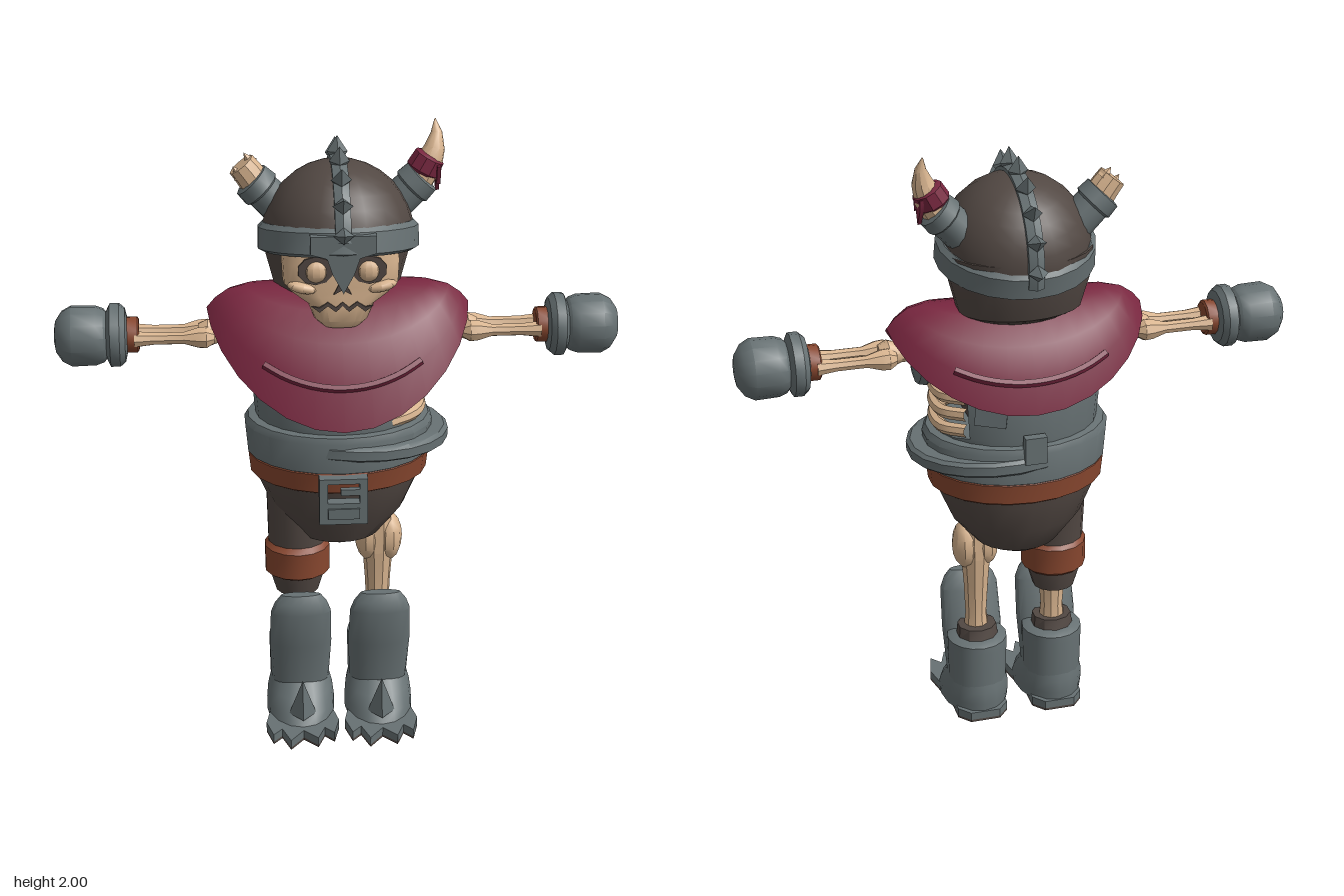
import * as THREE from 'three';
import { toCreasedNormals } from 'three/addons/utils/BufferGeometryUtils.js';

const V = (x, y, z) => new THREE.Vector3(x, y, z);
const material = (name, color, side = THREE.FrontSide) => {
  const m = new THREE.MeshStandardMaterial({ color, side });
  m.name = name;
  return m;
};

// Skins closed rings of points, optionally capping both ends
function skin(rings, capped = true) {
  const n = rings[0].length, pos = [], idx = [];
  rings.forEach(r => r.forEach(p => pos.push(p.x, p.y, p.z)));
  for (let i = 0; i < rings.length - 1; i++) for (let j = 0; j < n; j++) {
    const a = i * n + j, b = i * n + (j + 1) % n;
    idx.push(a, b, b + n, a, b + n, a + n);
  }
  if (capped) [0, rings.length - 1].forEach((k, top) => {
    const c = rings[k].reduce((s, p) => s.add(p), V(0, 0, 0)).divideScalar(n);
    const ci = pos.length / 3;
    pos.push(c.x, c.y, c.z);
    for (let j = 0; j < n; j++) {
      const a = k * n + j, b = k * n + (j + 1) % n;
      top ? idx.push(ci, a, b) : idx.push(ci, b, a);
    }
  });
  const g = new THREE.BufferGeometry();
  g.setAttribute('position', new THREE.Float32BufferAttribute(pos, 3));
  g.setIndex(idx);
  return g;
}

// Stacked oval sections: [y, halfWidth, zBack, zFront]; power > 2 squares the oval
function loft(rows, n = 20, power = 2, rule = p => p) {
  const bend = t => Math.sign(t) * Math.abs(t) ** (2 / power);
  return skin(rows.map(([y, rx, zb, zf]) => Array.from({ length: n }, (_, j) => {
    const a = j / n * Math.PI * 2;
    return rule(V(rx * bend(Math.sin(a)), y, (zb + zf) / 2 + (zf - zb) / 2 * bend(Math.cos(a))));
  })));
}

// Round sections along a path: [x, y, z, radius]
function limb(path, n = 10) {
  const c = path.map(p => V(p[0], p[1], p[2]));
  return skin(c.map((p, i) => {
    const t = c[Math.min(i + 1, c.length - 1)].clone().sub(c[Math.max(i - 1, 0)]).normalize();
    const u = V(0, 0, 1).cross(t).normalize(), v = t.clone().cross(u);
    return Array.from({ length: n }, (_, j) => {
      const a = j / n * Math.PI * 2, r = path[i][3];
      return p.clone().addScaledVector(u, r * Math.cos(a)).addScaledVector(v, r * Math.sin(a));
    });
  }));
}

function plate(points, depth, holes = []) {
  const shape = new THREE.Shape(points.map(p => new THREE.Vector2(...p)));
  holes.forEach(h => shape.holes.push(new THREE.Path(h.map(p => new THREE.Vector2(...p)))));
  return new THREE.ExtrudeGeometry(shape, { depth, bevelEnabled: false });
}
const rect = (x0, y0, x1, y1) => [[x0, y0], [x1, y0], [x1, y1], [x0, y1]];

export function createModel() {
  const model = new THREE.Group();
  model.name = 'skeletonWarrior';
  const iron = material('iron grey', 0x677173), dark = material('dark leather', 0x524843);
  const bone = material('bone', 0xd8b48f), tan = material('brown leather', 0x88472f);
  const red = material('crimson cloth', 0x78263f, THREE.DoubleSide);
  const add = (name, geo, mat, pos = [0, 0, 0], rot = [0, 0, 0], scale = [1, 1, 1], parent = model) => {
    const m = new THREE.Mesh(toCreasedNormals(geo, 0.6), mat);
    m.name = name;
    m.position.set(...pos); m.rotation.set(...rot); m.scale.set(...scale);
    parent.add(m);
    return m;
  };

  // Boots
  const toes = [[0.12, 0.19], [0.1, 0.27], [0.07, 0.235], [0.045, 0.3], [0, 0.25],
    [-0.045, 0.31], [-0.07, 0.235], [-0.1, 0.27], [-0.12, 0.19]];
  const sole = [[-0.085, 0.02], [-0.085, -0.06], [-0.05, -0.1], [0.05, -0.1], [0.085, -0.06], [0.085, 0.02], ...toes];
  for (const s of [1, -1]) {
    const boot = new THREE.Group();
    boot.name = s > 0 ? 'leftBoot' : 'rightBoot';
    boot.position.x = 0.13 * s;
    model.add(boot);
    const part = (name, geo, mat, pos, rot, scale) => add(name, geo, mat, pos, rot, scale, boot);
    part('clawedSole', plate(sole, 0.027), iron, [0, 0.035, 0], [Math.PI / 2, 0, 0]);
    part('soleBottom', plate(sole, 0.008), dark, [0, 0.008, 0], [Math.PI / 2, 0, 0]);
    part('foot', loft([[0.02, 0.112, -0.095, 0.24], [0.06, 0.112, -0.098, 0.21], [0.1, 0.107, -0.095, 0.165],
      [0.14, 0.095, -0.085, 0.12]], 16), iron);
    part('shaft', loft([[0.12, 0.097, -0.088, 0.11], [0.25, 0.1, -0.092, 0.115], [0.275, 0.1, -0.09, 0.11],
      [0.285, 0.08, -0.07, 0.09]], 16), iron);
    part('shinGuard', loft([[0.13, 0.095, -0.02, 0.118], [0.28, 0.102, 0.03, 0.135], [0.41, 0.098, 0.07, 0.162],
      [0.445, 0.085, 0.085, 0.155], [0.472, 0.065, 0.105, 0.14]], 16), iron);
    part('bootSpike', new THREE.ConeGeometry(0.045, 0.13, 4), iron, [0, 0.13, 0.195], [0.12, 0, 0]);
    part('bootLining', loft([[0.28, 0.07, -0.06, 0.07], [0.32, 0.065, -0.05, 0.07]], 10), dark);
  }

  // Bare left leg
  add('leftShinBone', limb([[0.13, 0.28, 0.02, 0.045], [0.13, 0.36, 0.02, 0.036], [0.13, 0.48, 0.015, 0.042],
    [0.13, 0.58, 0.015, 0.05]]), bone);
  add('leftThighBone', limb([[0.13, 0.58, 0.015, 0.05], [0.13, 0.68, 0.015, 0.052], [0.12, 0.78, 0.01, 0.045]]), bone);
  for (const x of [0.1, 0.165])
    add('leftKneeKnob', new THREE.SphereGeometry(1, 10, 8), bone, [x, 0.625, 0.015], [0, 0, 0], [0.045, 0.085, 0.056]);

  // Clothed right leg
  const leg = [-0.135, 0, 0];
  add('rightTrouserLeg', loft([[0.44, 0.07, -0.06, 0.07], [0.5, 0.088, -0.075, 0.085], [0.6, 0.095, -0.08, 0.1],
    [0.8, 0.1, -0.1, 0.1]], 14), dark, leg);
  add('kneeBand', loft([[0.51, 0.095, -0.08, 0.1], [0.52, 0.107, -0.09, 0.115], [0.61, 0.107, -0.095, 0.12],
    [0.625, 0.095, -0.08, 0.1]], 14), tan, leg);
  add('rightShinBone', limb([[-0.13, 0.28, 0.01, 0.045], [-0.13, 0.36, 0.01, 0.038], [-0.13, 0.46, 0.01, 0.045]]), bone);

  // Trousers, belt and buckle
  add('trousers', loft([[0.64, 0.09, -0.11, 0.09], [0.66, 0.14, -0.14, 0.13], [0.75, 0.215, -0.185, 0.17],
    [0.85, 0.258, -0.21, 0.2], [0.92, 0.27, -0.22, 0.21]], 22), dark);
  add('belt', loft([[0.87, 0.27, -0.215, 0.21], [0.88, 0.285, -0.23, 0.228], [0.945, 0.292, -0.235, 0.238],
    [0.955, 0.275, -0.22, 0.22]], 22), tan);
  add('buckle', plate(rect(-0.077, 0.79, 0.075, 0.945), 0.04, [rect(-0.05, 0.862, 0.05, 0.928)]), iron, [0, 0, 0.228]);
  add('bucklePanel', plate(rect(-0.05, 0.81, 0.05, 0.845), 0.008), iron, [0, 0, 0.266]);
  add('bucklePin', new THREE.BoxGeometry(0.06, 0.02, 0.02), iron, [0.02, 0.9, 0.26]);

  // Torso armour with a broken-out left flank
  const broken = p => {
    if (p.x > 0.15 && p.y > 1.085 && p.y < 1.255 && p.z > -0.13 && p.z < 0.14) p.x = 0.15;
    return p;
  };
  add('torsoArmour', loft([[1.03, 0.26, -0.21, 0.215], [1.08, 0.265, -0.213, 0.22], [1.09, 0.266, -0.214, 0.22],
    [1.25, 0.28, -0.215, 0.215], [1.26, 0.28, -0.214, 0.213], [1.33, 0.282, -0.19, 0.185],
    [1.42, 0.22, -0.13, 0.13], [1.48, 0.14, -0.1, 0.1]], 24, 2, broken), iron);
  add('waistArmour', loft([[0.935, 0.27, -0.215, 0.215], [0.95, 0.293, -0.235, 0.238], [1.05, 0.302, -0.238, 0.245],
    [1.07, 0.29, -0.23, 0.238], [1.075, 0.265, -0.21, 0.215]], 22), iron);
  add('waistFold', loft([[0.99, 0.29, -0.235, 0.238], [1, 0.303, -0.246, 0.253], [1.03, 0.303, -0.246, 0.253],
    [1.04, 0.29, -0.235, 0.238]], 22), iron, [0, 0, 0], [0, 0, -0.05]);
  add('backClasp', new THREE.BoxGeometry(0.07, 0.09, 0.03), iron, [0, 1.07, -0.235]);
  add('backPlate', new THREE.BoxGeometry(0.1, 0.08, 0.02), iron, [0.13, 1.19, -0.195], [0, -0.35, 0.1]);
  add('flankShadow', new THREE.BoxGeometry(0.008, 0.15, 0.2), dark, [0.152, 1.17, 0.005]);
  for (const y of [1.1, 1.155, 1.21, 1.26]) {
    const curve = new THREE.CatmullRomCurve3([V(0.15, y - 0.01, 0.16), V(0.225, y, 0.12), V(0.258, y, 0.03),
      V(0.25, y, -0.06), V(0.19, y + 0.01, -0.13)]);
    add('rib', new THREE.TubeGeometry(curve, 12, 0.021, 7), bone);
  }

  // Arms and gauntlets, mirrored
  for (const s of [1, -1]) {
    const along = (rows, n, y = 1.345, z = 0) => limb(rows.map(([x, r]) => [x * s, y, z, r]), n);
    const side = s > 0 ? 'left' : 'right';
    add(side + 'Sleeve', along([[0.18, 0.09], [0.29, 0.09], [0.3, 0.098], [0.325, 0.092], [0.33, 0.06]], 12, 1.33), iron);
    add(side + 'UpperArmBone', along([[0.25, 0.04], [0.32, 0.03], [0.37, 0.032], [0.41, 0.045], [0.44, 0.03]], 10), bone);
    for (const z of [-0.035, 0.035]) {
      add(side + 'ForearmBone', along([[0.39, 0.02], [0.415, 0.036], [0.44, 0.034], [0.485, 0.02], [0.58, 0.02],
        [0.64, 0.027]], 8, 1.342, z), bone);
    }
    add(side + 'WristCuff', along([[0.625, 0.05], [0.63, 0.057], [0.68, 0.057]], 12), tan);
    add(side + 'GauntletRim', along([[0.662, 0.06], [0.668, 0.085], [0.685, 0.1], [0.715, 0.1], [0.727, 0.075]], 14), iron);
    add(side + 'Fist', along([[0.715, 0.06], [0.735, 0.085], [0.76, 0.094], [0.835, 0.096], [0.865, 0.08],
      [0.885, 0.05], [0.89, 0.02]], 14), iron);
  }

  // Shoulder cape: rows of [halfWidth, zBack, zFront, ySide, yBack, yFront], hem first
  const capeRows = [[0.36, -0.21, 0.25, 1.42, 1.25, 1.18], [0.395, -0.245, 0.285, 1.41, 1.2, 1.115],
    [0.412, -0.262, 0.308, 1.43, 1.2, 1.12], [0.385, -0.235, 0.265, 1.462, 1.3, 1.25],
    [0.345, -0.19, 0.205, 1.49, 1.4, 1.37], [0.29, -0.12, 0.13, 1.503, 1.475, 1.45], [0.17, -0.08, 0.08, 1.5, 1.49, 1.47]];
  const capePoint = ([rx, zb, zf, ys, yb, yf], a) => {
    const c = Math.cos(a), front = c > 0;
    return V(rx * Math.sin(a), ys + ((front ? yf : yb) - ys) * Math.abs(c) ** 1.4, c * (front ? zf : -zb));
  };
  add('cape', skin(capeRows.map(r => Array.from({ length: 28 }, (_, j) => capePoint(r, j / 28 * Math.PI * 2))), false), red);
  for (const [name, mid] of [['capeFrontFold', 0], ['capeBackFold', Math.PI]]) {
    const pts = Array.from({ length: 9 }, (_, i) => capePoint(capeRows[3], mid + (i - 4) * 0.17));
    add(name, new THREE.TubeGeometry(new THREE.CatmullRomCurve3(pts), 16, 0.013, 5), red);
  }

  // Skull face
  add('skull', loft([[1.415, 0.06, 0, 0.175], [1.44, 0.085, 0, 0.192], [1.49, 0.105, 0, 0.196], [1.52, 0.15, 0, 0.192],
    [1.55, 0.178, 0, 0.192], [1.62, 0.182, 0, 0.19], [1.7, 0.17, 0, 0.18]], 24, 3.5), bone);
  add('mouth', plate([[-0.095, 1.495], [-0.07, 1.475], [-0.045, 1.495], [-0.02, 1.475], [0, 1.495], [0.02, 1.475],
    [0.045, 1.495], [0.07, 1.475], [0.095, 1.495], [0.07, 1.49], [0.045, 1.507], [0.02, 1.49], [0, 1.507],
    [-0.02, 1.49], [-0.045, 1.507], [-0.07, 1.49]], 0.008), dark, [0, 0, 0.191]);
  add('noseHole', plate([[-0.028, 1.53], [0, 1.545], [0.028, 1.53], [0, 1.585]], 0.008), dark, [0, 0, 0.19]);
  for (const s of [1, -1]) {
    add('eyeSocket', new THREE.CylinderGeometry(0.05, 0.05, 0.008, 10), dark, [0.082 * s, 1.607, 0.19],
      [Math.PI / 2, 0, 0], [1.1, 1, 0.9]);
    add('eye', new THREE.SphereGeometry(0.035, 10, 8), bone, [0.08 * s, 1.603, 0.188], [0, 0, 0], [1, 1, 0.6]);
    add('cheekbone', new THREE.SphereGeometry(1, 8, 6), bone, [0.12 * s, 1.55, 0.178], [0, 0, 0.2 * s], [0.05, 0.018, 0.028]);
  }

  // Helmet, tipped back a little
  add('helmetSkirt', loft([[1.45, 0.14, -0.13, 0.03], [1.485, 0.198, -0.185, 0.085], [1.6, 0.228, -0.225, 0.12],
    [1.68, 0.235, -0.23, 0.15]], 22), dark);
  const helmet = new THREE.Group();
  helmet.name = 'helmet';
  helmet.position.set(0, 1.66, 0);
  helmet.rotation.x = -0.2;
  model.add(helmet);
  const onHelmet = (name, geo, mat, pos, rot, scale) => add(name, geo, mat, pos, rot, scale, helmet);
  onHelmet('dome', new THREE.SphereGeometry(0.237, 20, 8, 0, Math.PI * 2, 0, Math.PI / 2), dark);
  onHelmet('brim', loft([[-0.045, 0.235, -0.23, 0.23], [-0.035, 0.252, -0.246, 0.246], [0.03, 0.25, -0.244, 0.244],
    [0.045, 0.235, -0.23, 0.23]], 22), iron);
  onHelmet('crest', new THREE.TorusGeometry(0.237, 0.02, 6, 24, Math.PI), iron, [0, 0, 0], [0, -Math.PI / 2, 0], [1, 1, 1.4]);
  for (let i = 0; i < 9; i++) {
    const a = (5 + 20.2 * i) * Math.PI / 180;
    onHelmet('crestSpike', new THREE.OctahedronGeometry(1), iron, [0, 0.257 * Math.sin(a), 0.257 * Math.cos(a)],
      [Math.PI / 2 - a, 0, 0], [0.032, 0.05, 0.026]);
  }
  add('noseGuard', plate([[-0.1, 1.73], [-0.1, 1.675], [-0.05, 1.66], [-0.033, 1.61], [0, 1.548], [0.033, 1.61],
    [0.05, 1.66], [0.1, 1.675], [0.1, 1.73]], 0.03), iron, [0, 0, 0.212]);

  // Horns: whole on the left, snapped on the right
  for (const s of [1, -1]) {
    add('hornSocket', limb([[0.17 * s, 1.73, -0.05, 0.06], [0.23 * s, 1.79, -0.05, 0.058], [0.235 * s, 1.795, -0.05, 0.066],
      [0.265 * s, 1.825, -0.05, 0.062], [0.268 * s, 1.828, -0.05, 0.04]], 12), iron);
  }
  add('leftHorn', limb([[0.25, 1.81, -0.05, 0.048], [0.285, 1.865, -0.05, 0.045], [0.303, 1.915, -0.055, 0.033],
    [0.31, 1.96, -0.068, 0.018], [0.306, 2, -0.08, 0.002]]), bone);
  add('hornWrap', limb([[0.262, 1.84, -0.05, 0.045], [0.266, 1.848, -0.05, 0.054], [0.288, 1.888, -0.05, 0.05],
    [0.292, 1.895, -0.05, 0.036]]), red);
  add('wrapTail', plate([[-0.05, 1.87], [-0.035, 1.81], [-0.015, 1.825], [0.005, 1.78], [0.04, 1.83], [0.045, 1.87]], 0.012),
    red, [0.306, 0, -0.045], [0, Math.PI / 2, 0]);
  add('rightHornStub', limb([[-0.24, 1.8, -0.05, 0.05], [-0.275, 1.85, -0.05, 0.047], [-0.295, 1.875, -0.05, 0.045]]), bone);
  for (const [x, y, z] of [[-0.31, 1.858, -0.035], [-0.275, 1.893, -0.06]])
    add('brokenHornEdge', new THREE.ConeGeometry(0.024, 0.04, 5), bone, [x, y, z], [0, 0, 0.65]);

  return model;
}
